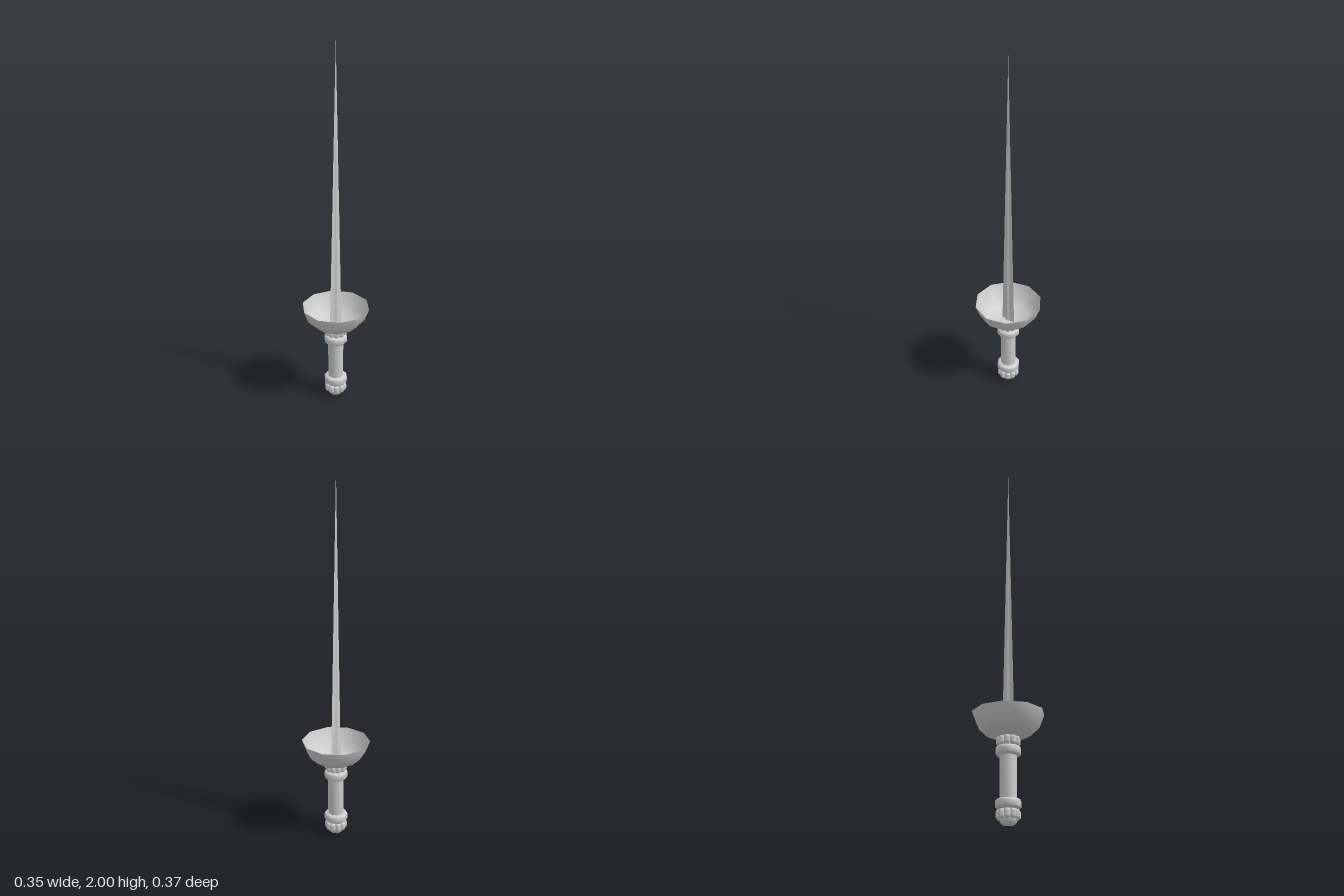
import * as THREE from 'three';
import { toCreasedNormals } from 'three/addons/utils/BufferGeometryUtils.js';

const grey = new THREE.MeshStandardMaterial({ color: 0xcccccc });
const greyThin = new THREE.MeshStandardMaterial({ color: 0xcccccc, side: THREE.DoubleSide });
const greyFlat = new THREE.MeshStandardMaterial({ color: 0xcccccc, flatShading: true });

function add(parent, name, geometry, material = grey) {
  const mesh = new THREE.Mesh(geometry, material);
  mesh.name = name;
  parent.add(mesh);
  return mesh;
}

// Ten-sided turned part from [radius, height] pairs, listed bottom to top
function turned(points, crease = 0.8) {
  const lathe = new THREE.LatheGeometry(points.map(([r, y]) => new THREE.Vector2(r, y)), 10);
  return toCreasedNormals(lathe, crease);
}

// Rounded collar centred on height y
function collar(y) {
  return turned([[0.04, y - 0.024], [0.057, y - 0.022], [0.064, y - 0.014],
    [0.064, y + 0.014], [0.057, y + 0.022], [0.04, y + 0.024]]);
}

// Ring of upright rounded lobes around the grip
function lobeRing(name, y) {
  const ring = new THREE.Group();
  ring.name = name;
  const lobe = new THREE.CapsuleGeometry(0.016, 0.017, 3, 8);
  for (let i = 0; i < 10; i++) {
    const a = (i / 10) * Math.PI * 2;
    add(ring, 'lobe', lobe).position.set(Math.sin(a) * 0.046, y, Math.cos(a) * 0.046);
  }
  return ring;
}

// Long tapering blade: eight-sided section with hollowed faces
function bladeGeometry() {
  const base = 0.435, height = 2 - base;
  const geometry = new THREE.ConeGeometry(1, height, 8, 1);
  const pos = geometry.attributes.position;
  for (let i = 0; i < pos.count; i++) {
    const x = pos.getX(i), z = pos.getZ(i);
    const diagonal = Math.abs(x * z) > 0.1;
    pos.setX(i, x * (diagonal ? 0.018 : 0.042));
    pos.setZ(i, z * (diagonal ? 0.006 : 0.012));
  }
  geometry.translate(0, base + height / 2, 0);
  return geometry;
}

export function createModel() {
  const sword = new THREE.Group();
  sword.name = 'sword';

  add(sword, 'blade', bladeGeometry(), greyFlat);

  // Open bowl guarding the hand
  add(sword, 'cupGuard', turned([[0.046, 0.435], [0.115, 0.45], [0.16, 0.493], [0.185, 0.56]], 1.2), greyThin);
  add(sword, 'guardFloor', turned([[0.047, 0.425], [0.047, 0.437], [0, 0.438]]), greyThin);

  // Grip with a collar and lobed ring at each end
  add(sword, 'grip', turned([[0.043, 0.06], [0.043, 0.43]]));
  add(sword, 'upperCollar', collar(0.362));
  add(sword, 'lowerCollar', collar(0.101));
  sword.add(lobeRing('upperLobes', 0.411), lobeRing('lowerLobes', 0.05));

  // Rounded pommel end
  add(sword, 'pommel', turned([[0, 0], [0.03, 0.003], [0.041, 0.014], [0.045, 0.03], [0.045, 0.075]], 1.2));

  return sword;
}
